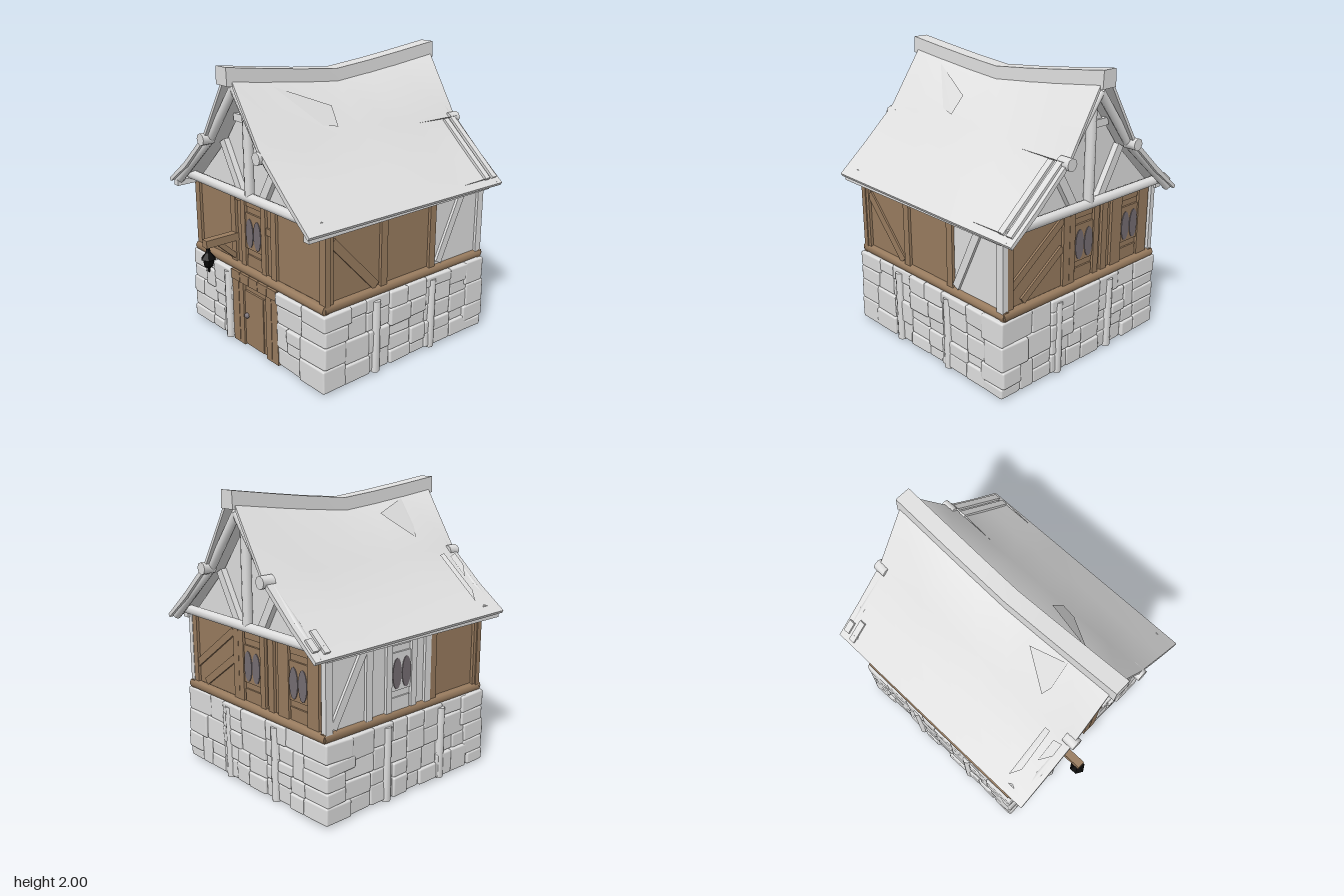
import * as THREE from 'three';
import { toCreasedNormals } from 'three/addons/utils/BufferGeometryUtils.js';
import { RoundedBoxGeometry } from 'three/addons/geometries/RoundedBoxGeometry.js';

const mat = (name, color, side = THREE.FrontSide) =>
  Object.assign(new THREE.MeshStandardMaterial({ color, side }), { name });
const pale = mat('pale plaster and stone', 0xdfdfdf, THREE.DoubleSide);
const wood = mat('brown wood', 0x997c5f);
const iron = mat('black iron', 0x070707);
const glass = mat('grey glass', 0x766e73);

let seed = 11;
const rnd = (a, b) => {
  seed = (seed * 16807) % 2147483647;
  return a + (b - a) * (seed / 2147483647);
};

function add(parent, name, geo, material) {
  const m = new THREE.Mesh(geo, material);
  m.name = name;
  parent.add(m);
  return m;
}
function box(parent, name, x0, x1, y0, y1, z0, z1, material) {
  const m = add(parent, name, new THREE.BoxGeometry(x1 - x0, y1 - y0, z1 - z0), material);
  m.position.set((x0 + x1) / 2, (y0 + y1) / 2, (z0 + z1) / 2);
}
// Bar between two points: round log, or squared beam when a height is given
function bar(parent, name, a, b, w, material, h) {
  const A = new THREE.Vector3(...a), B = new THREE.Vector3(...b), len = A.distanceTo(B);
  const geo = h ? new THREE.BoxGeometry(w, h, len)
    : toCreasedNormals(new THREE.CylinderGeometry(w, w, len, 8).rotateX(Math.PI / 2), 1);
  const m = new THREE.Mesh(geo, material);
  m.name = name;
  m.position.copy(A).lerp(B, 0.5);
  m.lookAt(B);
  parent.add(m);
}
// Closed cross-sections joined along z, with both ends capped
function loft(rings, zs) {
  const pos = [], n = rings[0].length;
  const tri = (...ps) => ps.forEach(([i, j]) => pos.push(...rings[i][j % n], zs[i]));
  for (let i = 0; i < zs.length - 1; i++)
    for (let j = 0; j < n; j++) {
      tri([i, j], [i + 1, j], [i, j + 1]);
      tri([i + 1, j], [i + 1, j + 1], [i, j + 1]);
    }
  const e = zs.length - 1;
  for (let j = 0; j < n / 2 - 1; j++) {
    const p = n - 2 - j, q = n - 1 - j;
    tri([0, j], [0, j + 1], [0, p]);
    tri([0, j], [0, p], [0, q]);
    tri([e, j], [e, p], [e, j + 1]);
    tri([e, j], [e, q], [e, p]);
  }
  const g = new THREE.BufferGeometry();
  g.setAttribute('position', new THREE.Float32BufferAttribute(pos, 3));
  return toCreasedNormals(g, 0.6);
}

// Sagging ridge and flared slopes; the front of the right slope is a raised patch
const ridgeTop = z => 1.9 + 0.1 * Math.pow(Math.abs(z) / 0.9, 1.15);
function knots(z, side) {
  const lift = side > 0 ? THREE.MathUtils.clamp((z + 0.5) / 0.22, 0, 1) : 0;
  return [[0, ridgeTop(z) - 0.05], [0.05, ridgeTop(z) - 0.075],
    [0.31, 1.505 + 0.03 * lift], [0.57, 1.27 + 0.025 * lift], [0.785, 1.1 + 0.01 * z]];
}
function roofY(x, z) {
  const k = knots(z, x), ax = Math.abs(x);
  let i = 0;
  while (i < k.length - 2 && ax > k[i + 1][0]) i++;
  return k[i][1] + (k[i + 1][1] - k[i][1]) * (ax - k[i][0]) / (k[i + 1][0] - k[i][0]);
}

function buildRoof(g) {
  const zs = [0.84, 0.55, 0.25, 0, -0.28, -0.5, -0.91];
  const rings = zs.map(z => {
    const outer = [...knots(z, 1).reverse(), ...knots(z, -1).slice(1).map(([x, y]) => [-x, y])];
    const inner = outer.map(([x, y]) => [x * 0.985, y - (Math.abs(x) > 0.7 ? 0.02 : 0.035)]);
    return [...outer, ...inner.reverse()];
  });
  add(g, 'roof', loft(rings, zs), pale);

  const rz = [0.88, 0.6, 0.3, 0, -0.3, -0.6, -0.93];
  add(g, 'ridgeBeam', loft(rz.map(z => {
    const t = ridgeTop(z);
    return [[0.06, t - 0.115], [0.055, t], [-0.055, t], [-0.06, t - 0.115]];
  }), rz), pale);

  // Lifted shingles and splinters, each corner given as x, z, lift
  const flap = (name, ...pts) => {
    const geo = new THREE.BufferGeometry();
    const v = ([x, z, l]) => [x, roofY(x, z) + l, z];
    const p = [];
    for (let i = 1; i < pts.length - 1; i++) p.push(...v(pts[0]), ...v(pts[i]), ...v(pts[i + 1]));
    geo.setAttribute('position', new THREE.Float32BufferAttribute(p, 3));
    geo.computeVertexNormals();
    add(g, name, geo, pale);
  };
  flap('rightShingle', [0.08, 0.55, 0.005], [0.27, 0.3, 0.01], [0.29, 0.19, 0.015], [0.2, 0.17, 0.03]);
  flap('leftShingle', [-0.25, 0.5, 0.01], [-0.2, 0.53, 0.01], [-0.07, 0.53, 0.01], [-0.12, 0.27, 0.02]);
  flap('leftSplinter', [-0.69, 0.64, 0.01], [-0.62, 0.69, 0.02], [-0.36, 0.68, 0.02], [-0.36, 0.64, 0.01]);
  flap('leftSplinter', [-0.52, 0.73, 0.01], [-0.45, 0.79, 0.02], [-0.37, 0.79, 0.02], [-0.38, 0.73, 0.01]);
  flap('rearSplinter', [0.34, -0.9, 0.01], [0.33, -0.5, 0.01], [0.35, -0.9, 0.03]);
  flap('rearSplinter', [0.75, -0.8, 0.01], [0.75, -0.52, 0.01], [0.76, -0.8, 0.03]);
  const board = (x0, x1, z) => bar(g, 'roofBoard',
    [x0, roofY(x0, z) + 0.008, z], [x1, roofY(x1, z) + 0.008, z], 0.045, pale, 0.02);
  board(0.34, 0.75, -0.79);
  board(0.34, 0.75, -0.86);
  board(-0.76, -0.63, -0.8);
  board(-0.74, -0.67, -0.87);
}

function buildGables(g) {
  const tri = new THREE.Shape();
  [[-0.7, 1.08], [0.7, 1.08], [0.3, 1.46], [0, 1.85], [-0.3, 1.46]]
    .forEach(([x, y], i) => (i ? tri.lineTo(x, y) : tri.moveTo(x, y)));
  for (const [s, wall, edge] of [[1, 0.64, 0.79], [-1, -0.74, -0.86]]) {
    const panel = add(g, 'gableWall', new THREE.ExtrudeGeometry(tri, { depth: 0.03, bevelEnabled: false }), pale);
    panel.position.z = wall - 0.015;
    const z = wall + s * 0.06;
    bar(g, 'tieBeam', [-0.73, 1.125, z], [0.73, 1.125, z], 0.035, pale);
    bar(g, 'kingPost', [0, 1.13, z], [0, 1.86, z], 0.034, pale);
    box(g, 'collar', -0.2, 0.09, 1.6, 1.65, wall - 0.03, wall + 0.03, pale);
    for (const m of [1, -1]) {
      bar(g, 'rafter', [0, 1.86, edge], [m * 0.31, 1.465, edge], 0.03, pale);
      bar(g, 'rafter', [m * 0.31, 1.465, edge], [m * 0.755, 1.08, edge], 0.03, pale);
      bar(g, 'gableBrace', [m * 0.12, 1.13, wall + s * 0.03], [m * 0.31, 1.45, wall + s * 0.03], 0.05, pale, 0.06);
      bar(g, 'purlinEnd', [m * 0.31, 1.48, edge - s * 0.02], [m * 0.31, 1.48, edge + s * 0.072], 0.042, pale);
    }
  }
  for (const m of [1, -1])
    bar(g, 'eavesBeam', [m * 0.735, 1.08, 0.82], [m * 0.735, 1.08, -0.8], 0.05, pale, 0.04);
}

// Irregular masonry: split a rectangle until the blocks are stone sized
function masonry(g, u0, u1, v0, v1, d) {
  const w = u1 - u0, h = v1 - v0;
  if (h < 0.17 && w < 0.27 || w * h < 0.022) {
    const depth = rnd(0.16, 0.24), out = rnd(-0.018, 0.002);
    const s = add(g, 'stone', new RoundedBoxGeometry(w + 0.004, h + 0.002, depth, 1, 0.014), pale);
    s.position.set((u0 + u1) / 2, (v0 + v1) / 2, d + out - depth / 2);
    s.rotation.set(rnd(-0.04, 0.04), rnd(-0.04, 0.04), 0);
  } else {
    const t = rnd(0.36, 0.64);
    if (w > h * 1.3) {
      masonry(g, u0, u0 + w * t, v0, v1, d);
      masonry(g, u0 + w * t, u1, v0, v1, d);
    } else {
      masonry(g, u0, u1, v0, v0 + h * t, d);
      masonry(g, u0, u1, v0 + h * t, v1, d);
    }
  }
}
function stoneWall(g, u0, u1, d) {
  box(g, 'wallCore', u0 + 0.02, u1 - 0.02, 0.03, 0.53, d - 0.13, d - 0.05, pale);
  masonry(g, u0, u1, 0.015, 0.545, d);
}

// Framed window with twin rounded panes
function windowUnit(g, u, d, material) {
  for (const s of [-1, 1]) {
    box(g, 'windowPost', u + s * 0.115 - 0.025, u + s * 0.115 + 0.025, 0.6, 1.09, d - 0.02, d + 0.02, material);
    const pane = add(g, 'windowPane', new THREE.CylinderGeometry(0.04, 0.04, 0.006, 16).rotateX(Math.PI / 2), glass);
    pane.scale.y = 2.6;
    pane.position.set(u + s * 0.043, 0.85, d + 0.016);
  }
  box(g, 'windowSash', u - 0.085, u + 0.085, 0.735, 0.99, d - 0.02, d + 0.014, material);
  box(g, 'windowHead', u - 0.08, u + 0.08, 1.035, 1.09, d - 0.02, d + 0.012, material);
  box(g, 'windowApron', u - 0.08, u + 0.08, 0.6, 0.69, d - 0.02, d + 0.012, material);
}
const posts = (g, d, list, material) => list.forEach(u =>
  box(g, 'wallPost', u - 0.028, u + 0.028, 0.59, 1.09, d - 0.02, d + 0.02, material));

function buildDoor(g) {
  box(g, 'doorBacking', -0.26, 0.26, 0.01, 0.545, 0.62, 0.665, wood);
  [[-0.26, -0.185], [-0.18, -0.13], [0.13, 0.19], [0.195, 0.26]].forEach(([a, b]) =>
    box(g, 'doorPost', a, b, 0, 0.47, 0.64, 0.69, wood));
  for (let i = 0; i < 5; i++)
    box(g, 'lintelBlock', -0.255 + i * 0.103, -0.157 + i * 0.103, 0.475, 0.545, 0.64, 0.7, wood);
  box(g, 'doorLeaf', -0.125, 0.085, 0.01, 0.42, 0.64, 0.68, wood);
  box(g, 'doorStile', 0.088, 0.125, 0.01, 0.42, 0.64, 0.675, wood);
  const knob = add(g, 'doorKnob', new THREE.SphereGeometry(0.02, 10, 8), glass);
  knob.position.set(-0.1, 0.235, 0.685);
}

function buildLantern(g) {
  box(g, 'lanternArm', -0.27, -0.215, 0.755, 0.81, 0.65, 0.91, wood);
  bar(g, 'lanternBrace', [-0.242, 0.76, 0.8], [-0.242, 0.64, 0.67], 0.035, wood, 0.035);
  const prof = [[0, 0.57], [0.012, 0.585], [0.012, 0.605], [0.035, 0.625], [0.042, 0.67],
    [0.055, 0.672], [0.02, 0.715], [0.01, 0.755], [0, 0.76]];
  const lathe = new THREE.LatheGeometry(prof.map(p => new THREE.Vector2(...p)), 6);
  add(g, 'lantern', toCreasedNormals(lathe, 0.2), iron).position.set(-0.242, 0, 0.885);
}

export function createModel() {
  const root = new THREE.Group();
  root.name = 'cottage';
  const part = (name, turn = 0) => {
    const g = new THREE.Group();
    g.name = name;
    g.rotation.y = turn;
    root.add(g);
    return g;
  };
  const front = part('frontWall'), right = part('rightWall', Math.PI / 2);
  const back = part('backWall', Math.PI), left = part('leftWall', -Math.PI / 2);

  // Hollow stone base
  stoneWall(front, -0.75, -0.26, 0.71);
  stoneWall(front, 0.26, 0.75, 0.71);
  stoneWall(back, -0.75, 0.75, 0.81);
  stoneWall(right, -0.53, 0.64, 0.75);
  stoneWall(left, -0.64, 0.53, 0.75);
  bar(front, 'stonePost', [-0.29, 0.01, 0.7], [-0.29, 0.52, 0.7], 0.03, pale);
  for (const [g, us, d] of [[right, [-0.25, 0.27], 0.73], [left, [0.25, -0.27], 0.73], [back, [-0.25, 0.25], 0.79]])
    us.forEach(u => bar(g, 'stonePost', [u, 0.01, d], [u, 0.52, d], 0.032, pale));

  // Upper storey with its sill logs
  box(root, 'upperStorey', -0.7, 0.7, 0.55, 1.1, -0.76, 0.65, wood);
  for (const z of [0.66, -0.77]) bar(root, 'sillLog', [-0.725, 0.572, z], [0.725, 0.572, z], 0.034, wood);
  for (const x of [0.7, -0.7]) bar(root, 'sillLog', [x, 0.572, 0.67], [x, 0.572, -0.79], 0.034, wood);

  posts(front, 0.65, [-0.7, -0.25, 0.205, 0.7], wood);
  windowUnit(front, -0.02, 0.65, wood);
  box(front, 'wallRail', 0.115, 0.18, 0.89, 0.94, 0.64, 0.664, wood);
  box(front, 'wallRail', -0.225, -0.15, 1.05, 1.09, 0.64, 0.664, wood);

  posts(right, 0.7, [-0.63, -0.17, 0.28], wood);
  bar(right, 'wallBrace', [-0.6, 1.0, 0.7], [-0.23, 0.61, 0.7], 0.025, wood, 0.06);
  box(right, 'plasterPanel', 0.315, 0.765, 0.6, 1.09, 0.69, 0.706, pale);
  posts(right, 0.705, [0.755], pale);
  bar(right, 'plasterBrace', [0.34, 0.62, 0.71], [0.56, 1.07, 0.71], 0.03, pale, 0.055);

  posts(back, 0.76, [-0.665, -0.17, 0.2, 0.3, 0.63], wood);
  windowUnit(back, 0, 0.76, wood);
  windowUnit(back, 0.465, 0.76, wood);
  bar(back, 'wallBrace', [-0.67, 0.72, 0.76], [-0.2, 1.06, 0.76], 0.03, wood, 0.05);
  bar(back, 'wallBrace', [-0.55, 0.62, 0.76], [-0.2, 0.87, 0.76], 0.03, wood, 0.05);

  box(left, 'plasterPanel', -0.765, 0.14, 0.6, 1.09, 0.69, 0.706, pale);
  posts(left, 0.705, [-0.755, -0.42, 0.12], pale);
  windowUnit(left, -0.13, 0.705, pale);
  bar(left, 'plasterBrace', [-0.72, 0.62, 0.71], [-0.46, 1.07, 0.71], 0.03, pale, 0.055);
  posts(left, 0.7, [0.18, 0.63], wood);

  buildDoor(part('door'));
  buildLantern(part('lanternBracket'));
  buildGables(part('gables'));
  buildRoof(part('roofing'));
  return root;
}
